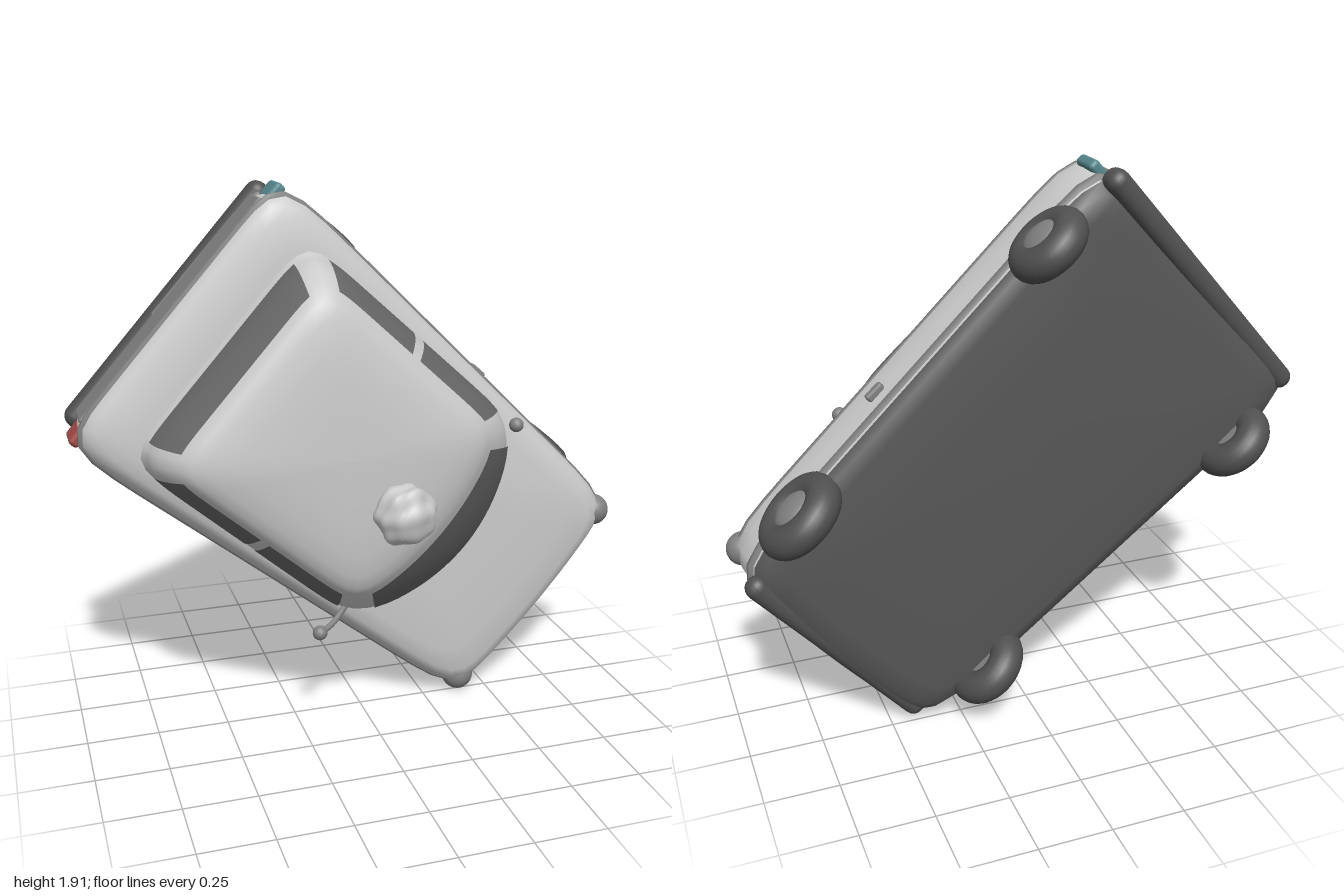
import * as THREE from 'three';
import { RoundedBoxGeometry } from 'three/addons/geometries/RoundedBoxGeometry.js';

const mat = (color, side = THREE.FrontSide) => new THREE.MeshStandardMaterial({ color, side });
const paint = mat(0xcccccc), dark = mat(0x555555), black = mat(0x505050), trim = mat(0x808080);
const glass = mat(0x686868, THREE.DoubleSide);

// Point on a rounded, tapered plan outline: X forward, Y left, Z up.
function outline(a, s) {
  const c = Math.cos(a), d = Math.sin(a);
  const r = Math.pow(Math.abs(c) ** s.n + Math.abs(d) ** s.n, -1 / s.n);
  const x = c * r, y = d * r;
  const bulge = x > 0 ? s.bulge * x * (1 - y * y) : 0;
  const w = s.wr + (s.wf - s.wr) * (x + 1) / 2;
  const Y = w * y;
  return [(s.rear + s.front) / 2 + (s.front - s.rear) / 2 * x + bulge, Y,
    s.z + (s.z < -0.18 ? 0.045 * Y : 0) + (s.tilt ?? 0) * x];
}

// Grid of points turned into a smooth surface.
function surface(rings, closed) {
  const n = rings[0].length, idx = [];
  for (let i = 0; i < rings.length - 1; i++) {
    for (let j = 0; j < (closed ? n : n - 1); j++) {
      const k = (j + 1) % n, a = i * n;
      idx.push(a + j, a + k, a + n + k, a + j, a + n + k, a + n + j);
    }
  }
  const g = new THREE.BufferGeometry();
  g.setAttribute('position', new THREE.Float32BufferAttribute(rings.flat(2), 3));
  g.setIndex(idx);
  g.computeVertexNormals();
  return g;
}

const stack = (levels, n = 96) => surface(levels.map((s) =>
  Array.from({ length: n }, (_, j) => outline(j / n * Math.PI * 2, s))), true);

// Body level: height, length scale, width scale.
const bodyLevel = ([z, l, w]) => ({
  z, rear: -0.88 * l, front: 0.89 * l, wr: 0.565 * w, wf: 0.47 * w, bulge: 0.03 * l, n: 12,
  tilt: z > -0.01 ? 0.012 * l : 0,
});
const cabinLevel = ([z, rear, front, wr, wf, bulge]) => ({ z, rear, front, wr, wf, bulge, n: 10 });

// Cabin wall from waist (k = 0) to eave (k = 1), bowed outward
const waist = [0.07, -0.69, 0.3, 0.46, 0.45, 0.18];
const eave = [0.28, -0.63, 0.17, 0.385, 0.37, 0.07];
function wall(k, out = 0) {
  const s = cabinLevel(waist.map((b, q) => b + (eave[q] - b) * k));
  const bow = 0.07 * k * (1 - k) + out;
  s.rear -= bow; s.front += bow; s.wr += bow; s.wf += bow;
  return s;
}

export function createModel() {
  const model = new THREE.Group();
  const car = new THREE.Group();
  car.name = 'car';
  model.add(car);
  const add = (name, geo, material, x = 0, y = 0, z = 0) => {
    const m = new THREE.Mesh(geo, material);
    m.name = name;
    m.position.set(x, y, z);
    car.add(m);
    return m;
  };
  const box = (name, size, pos, material, r = 0.015) =>
    add(name, new RoundedBoxGeometry(...size, 3, r), material, ...pos);

  // Lower body, underside and mouldings
  add('body', stack([
    [-0.28, 0.93, 0.93], [-0.25, 0.975, 0.97], [-0.2, 0.99, 0.985], [-0.1, 1, 1], [-0.03, 1, 1],
    [0.0, 0.992, 0.985], [0.03, 0.97, 0.95], [0.048, 0.93, 0.9], [0.062, 0.82, 0.8],
    [0.075, 0.55, 0.5], [0.08, 0, 0],
  ].map(bodyLevel)), paint);
  add('underside', stack([
    [-0.305, 0, 0], [-0.305, 0.5, 0.5], [-0.298, 0.86, 0.86], [-0.283, 0.94, 0.94], [-0.25, 0.98, 0.975],
  ].map(bodyLevel)), dark);
  add('beltMoulding', stack([
    [-0.03, 1, 1], [-0.026, 1.006, 1.008], [-0.014, 1.005, 1.005], [-0.011, 0.99, 0.99],
  ].map(bodyLevel)), trim);
  add('sillMoulding', stack([
    [-0.235, 0.98, 0.975], [-0.23, 0.995, 0.995], [-0.21, 0.998, 0.998], [-0.2, 0.985, 0.98],
  ].map(bodyLevel)), trim);

  // Cabin and roof
  add('cabin', stack([
    cabinLevel([0.03, -0.71, 0.32, 0.475, 0.465, 0.19]),
    ...[0, 0.2, 0.4, 0.6, 0.8, 1].map((k) => wall(k)),
    ...[
      [0.3, -0.61, 0.15, 0.362, 0.35, 0.06], [0.316, -0.57, 0.115, 0.325, 0.315, 0.05],
      [0.33, -0.49, 0.06, 0.26, 0.26, 0.04], [0.34, -0.38, -0.03, 0.17, 0.17, 0.02],
      [0.345, -0.2, -0.2, 0, 0, 0],
    ].map(cabinLevel),
  ]), paint);

  // Windows follow the cabin walls between two angles and two heights
  const windowPatch = (name, a0, a1) => {
    const rings = Array.from({ length: 9 }, (_, i) =>
      Array.from({ length: 25 }, (_, j) => outline(
        THREE.MathUtils.degToRad(a0 + (a1 - a0) * j / 24), wall(0.1 + 0.85 * i / 8, 0.004))));
    add(name, surface(rings, false), glass);
  };
  windowPatch('windshield', -40, 40);
  windowPatch('rearWindow', 141, 219);
  for (const [name, a0, a1] of [['frontSideWindow', 50, 87], ['rearSideWindow', 92, 130]]) {
    windowPatch(name + 'Left', a0, a1);
    windowPatch(name + 'Right', 360 - a1, 360 - a0);
  }

  // Wheels: soft tyre, thick disc and domed hub cap
  const wheel = (name, x, y, z, r) => {
    const g = new THREE.Group();
    g.name = name;
    g.position.set(x, y, z);
    const tyre = new THREE.Mesh(new THREE.TorusGeometry(r - 0.058, 0.058, 20, 40), black);
    const disc = new THREE.Mesh(new THREE.CylinderGeometry(r - 0.06, r - 0.06, 0.08, 32), trim);
    const cap = new THREE.Mesh(new THREE.SphereGeometry(0.075, 24, 14), trim);
    tyre.rotation.x = Math.PI / 2;
    cap.scale.y = 0.45;
    cap.position.y = Math.sign(y) * 0.03;
    g.add(tyre, disc, cap);
    car.add(g);
  };
  wheel('rearWheelLeft', -0.555, 0.515, -0.268, 0.143);
  wheel('rearWheelRight', -0.57, -0.505, -0.305, 0.145);
  wheel('frontWheelLeft', 0.6, 0.455, -0.24, 0.16);
  wheel('frontWheelRight', 0.59, -0.445, -0.295, 0.148);

  // Bumpers, grille and rear panel
  box('rearBumper', [0.08, 1.06, 0.1], [-0.848, 0, -0.25], black, 0.038);
  box('frontBumper', [0.08, 0.84, 0.08], [0.87, 0, -0.235], black, 0.038);
  box('rearPanel', [0.02, 0.94, 0.14], [-0.874, 0, -0.1], trim, 0.009);
  box('grille', [0.04, 0.6, 0.11], [0.895, 0, -0.1], dark);
  for (let i = -1; i <= 1; i++) box('grilleBar', [0.02, 0.58, 0.012], [0.912, 0, -0.1 + i * 0.035], trim, 0.005);

  // Paired lights and handles
  for (const s of [1, -1]) {
    const end = s > 0 ? 'Left' : 'Right';
    add('headlight' + end, new THREE.SphereGeometry(0.058, 24, 16), trim, 0.855, s * 0.405, -0.01);
    box('indicator' + end, [0.04, 0.08, 0.05], [0.878, s * 0.34, -0.14], mat(0x9a6650));
    box('tailLight' + end, [0.04, 0.07, 0.12], [-0.844, s * 0.515, -0.1], mat(s > 0 ? 0x55868c : 0xa04a45));
    box('doorHandle' + end, [0.07, 0.03, 0.03], [0.16, s * 0.515, -0.12], trim, 0.01);
  }

  // Stalked mirror on the right, small stub on the left
  const stem = new THREE.CatmullRomCurve3([
    new THREE.Vector3(0.25, -0.42, 0.08), new THREE.Vector3(0.23, -0.5, 0.13), new THREE.Vector3(0.21, -0.54, 0.15),
  ]);
  add('mirrorStem', new THREE.TubeGeometry(stem, 10, 0.011, 8), trim);
  add('mirror', new THREE.SphereGeometry(0.026, 16, 12), trim, 0.205, -0.55, 0.15);
  add('mirrorStub', new THREE.SphereGeometry(0.026, 16, 12), trim, 0.315, 0.45, 0.09);

  // Lumpy ornament on the roof, leaning to one side
  const lump = new THREE.SphereGeometry(1, 40, 24);
  const p = lump.attributes.position, v = new THREE.Vector3();
  for (let i = 0; i < p.count; i++) {
    v.fromBufferAttribute(p, i);
    v.multiplyScalar(1 + 0.06 * Math.sin(7 * v.x + 1) * Math.sin(6 * v.y) + 0.05 * Math.sin(8 * v.z + 4 * v.x));
    p.setXYZ(i, v.x * 0.105, v.y * 0.1, v.z * (0.075 - 0.018 * v.x));
  }
  lump.computeVertexNormals();
  add('roofOrnament', lump, paint, 0.06, -0.03, 0.368);

  // The car lies with its roof toward the front and its nose pointing down and sideways
  car.rotation.z = THREE.MathUtils.degToRad(-41.5);
  car.position.set(0.03, 0.93, 0);
  model.updateMatrixWorld(true);
  const b = new THREE.Box3().setFromObject(model, true);
  car.position.x -= (b.min.x + b.max.x) / 2;
  car.position.y -= b.min.y;
  return model;
}
